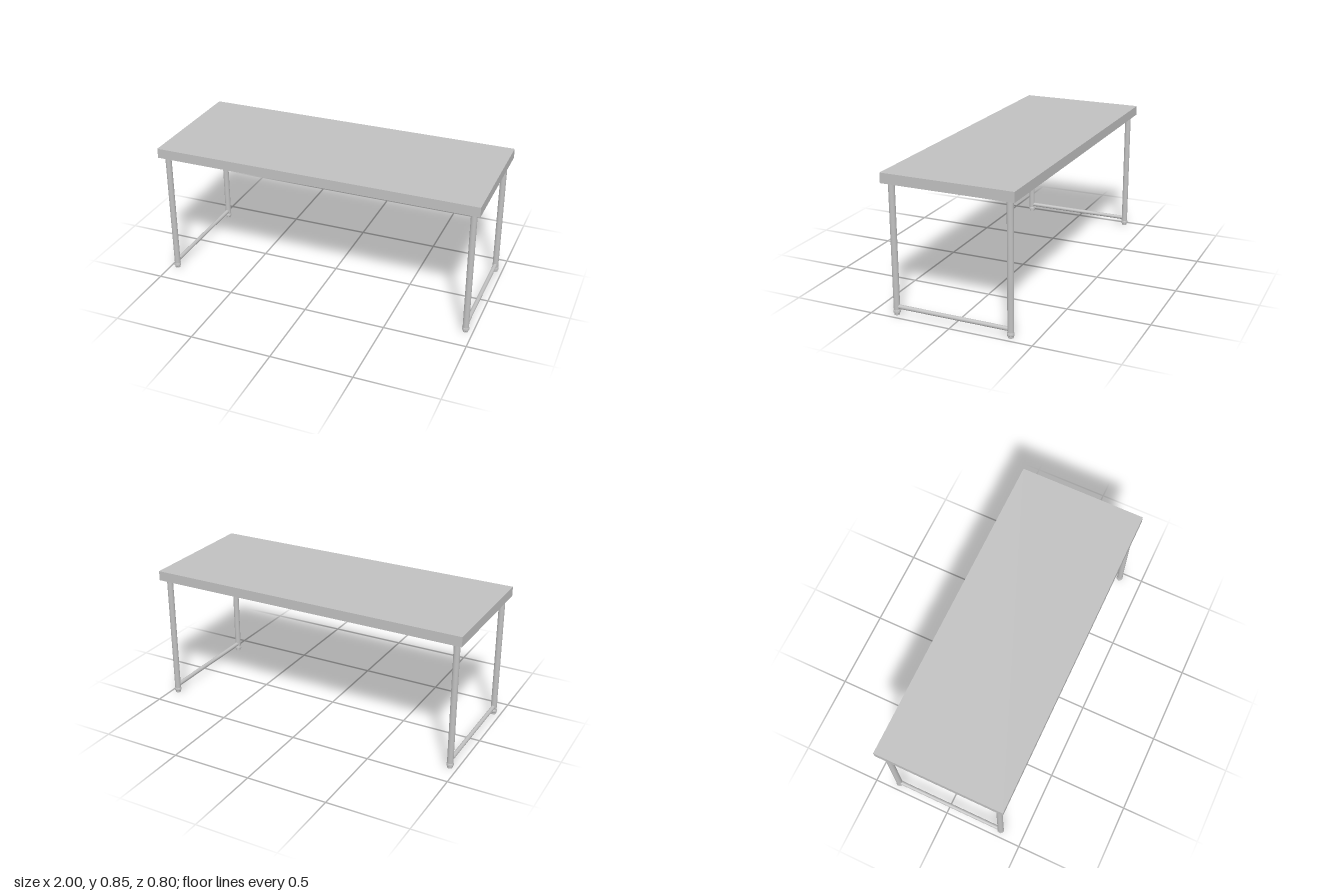
import * as THREE from 'three';
import { toCreasedNormals } from 'three/addons/utils/BufferGeometryUtils.js';

export function createModel() {
  const table = new THREE.Group();
  table.name = 'table';
  const grey = new THREE.MeshStandardMaterial({ color: 0xc0c0c0 });
  grey.name = 'light grey';

  const LEG_X = 0.956, LEG_Z = 0.355, UNDERSIDE = 0.79;

  function add(name, geometry, x, y, z) {
    const mesh = new THREE.Mesh(geometry, grey);
    mesh.name = name;
    mesh.position.set(x, y, z);
    table.add(mesh);
    return mesh;
  }

  // Solid slab top
  add('tableTop', new THREE.BoxGeometry(2, 0.06, 0.8), 0, UNDERSIDE + 0.03, 0);

  // Round tube leg, and a foot with a chamfered collar over a narrower pad
  const legGeometry = new THREE.CylinderGeometry(0.0185, 0.0185, UNDERSIDE - 0.03, 32);
  const footProfile = [
    [0, 0], [0.016, 0], [0.016, 0.012], [0.019, 0.012], [0.021, 0.015],
    [0.021, 0.028], [0.019, 0.032], [0, 0.032],
  ].map(([r, y]) => new THREE.Vector2(r, y));
  const footGeometry = toCreasedNormals(new THREE.LatheGeometry(footProfile, 32), 0.5);

  // Low crossbar, its ends buried in the legs
  const barGeometry = new THREE.CylinderGeometry(0.0125, 0.0125, LEG_Z * 2, 24);

  for (const [side, sx] of [['left', 1], ['right', -1]]) {
    for (const [end, sz] of [['Front', 1], ['Back', -1]]) {
      add(`${side}${end}Leg`, legGeometry, sx * LEG_X, (UNDERSIDE + 0.03) / 2, sz * LEG_Z);
      add(`${side}${end}Foot`, footGeometry, sx * LEG_X, 0, sz * LEG_Z);
    }
    add(`${side}Crossbar`, barGeometry, sx * LEG_X, 0.05, 0).rotation.x = Math.PI / 2;
  }

  return table;
}
